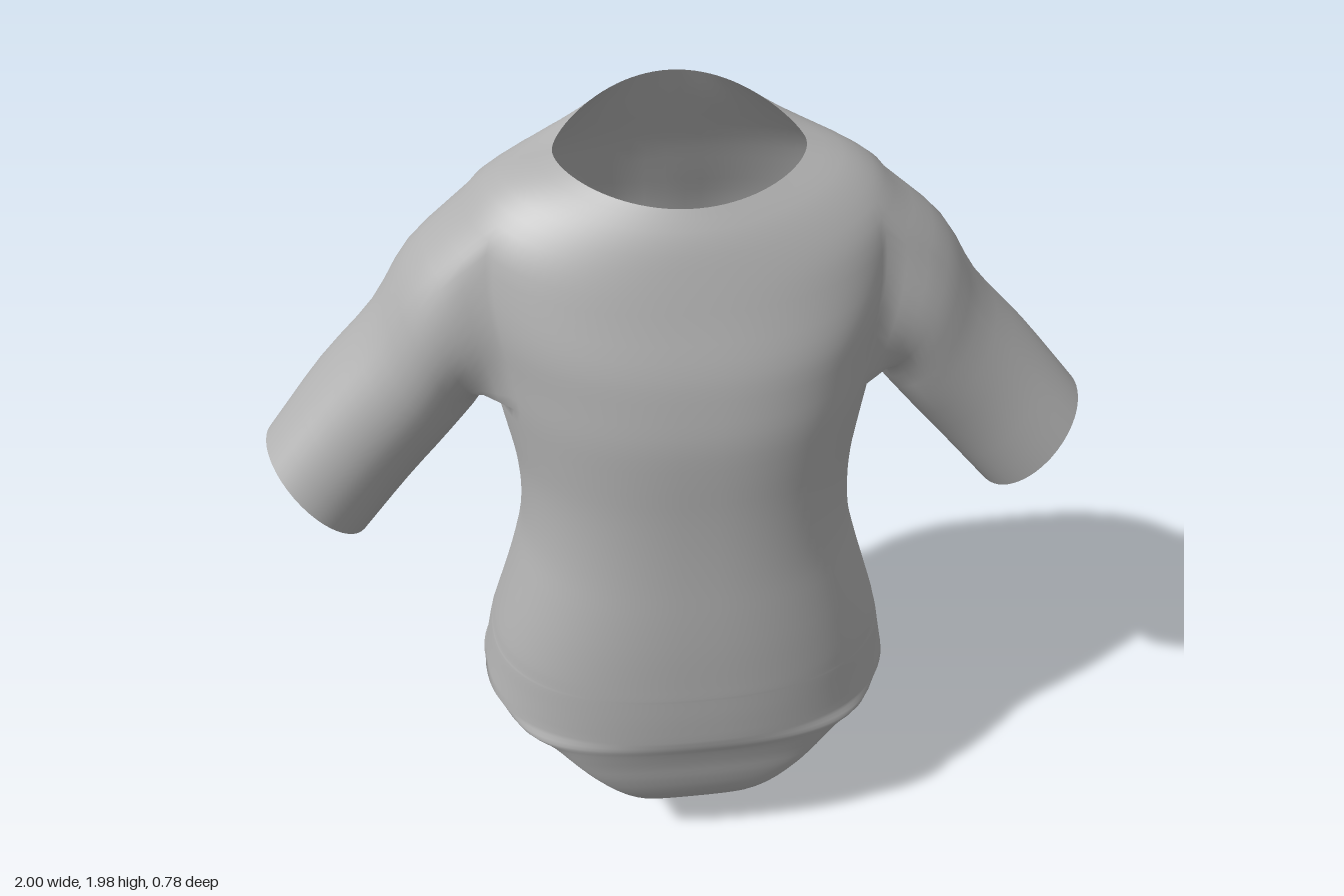
import * as THREE from 'three';

const N = 96;      // columns around the body
const K = 3;       // smoothing steps between sections
const HALF = 8;    // half width of the armhole, in columns

// Body sections: [yFront, ySide, yBack, halfWidth, zFront, zBack, zSide, roundness]
const TORSO = [
  [1.83, 1.88, 1.98, 0.28, 0.16, -0.225, -0.05, 2],
  [1.77, 1.84, 1.88, 0.40, 0.20, -0.265, -0.06, 2.1],
  [1.69, 1.77, 1.78, 0.485, 0.235, -0.31, -0.07, 2.3],
  [1.60, 1.67, 1.68, 0.50, 0.27, -0.345, -0.07, 2.4],
  [1.50, 1.57, 1.58, 0.49, 0.31, -0.378, -0.07, 2.4],
  [1.42, 1.46, 1.47, 0.47, 0.33, -0.395, -0.07, 2.4],
  [1.34, 1.36, 1.37, 0.455, 0.345, -0.392, -0.07, 2.4],
  [1.25, 1.25, 1.25, 0.432, 0.35, -0.37, -0.05, 2.4],
  [1.15, 1.15, 1.15, 0.411, 0.352, -0.335, -0.02, 2.4],
  [1.05, 1.05, 1.05, 0.403, 0.357, -0.30, 0.01, 2.4],
  [0.95, 0.95, 0.95, 0.41, 0.365, -0.27, 0.03, 2.4],
  [0.85, 0.85, 0.85, 0.435, 0.375, -0.255, 0.04, 2.4],
  [0.75, 0.75, 0.75, 0.465, 0.383, -0.268, 0.04, 2.4],
  [0.65, 0.65, 0.65, 0.495, 0.388, -0.31, 0.03, 2.4],
  [0.61, 0.61, 0.61, 0.505, 0.39, -0.33, 0.02, 2.4],
  [0.60, 0.60, 0.60, 0.508, 0.39, -0.342, 0.02, 2.4],
  [0.54, 0.54, 0.54, 0.52, 0.391, -0.36, 0.01, 2.4],
  [0.46, 0.46, 0.46, 0.535, 0.39, -0.375, 0.01, 2.4],
];
// Panels between the leg openings: [y, halfWidth, zMiddle, zEdge]
const FRONT = [
  [0.46, 0.535, 0.39, 0.01], [0.43, 0.46, 0.385, 0.20], [0.40, 0.38, 0.375, 0.28],
  [0.34, 0.32, 0.36, 0.31], [0.28, 0.265, 0.35, 0.32], [0.20, 0.19, 0.325, 0.31],
  [0.12, 0.115, 0.27, 0.265], [0.06, 0.06, 0.20, 0.20], [0.02, 0.02, 0.10, 0.10],
  [0, 0.01, 0, 0],
];
const BACK = [
  [0.46, 0.535, -0.375, 0.01], [0.42, 0.54, -0.385, -0.06], [0.36, 0.54, -0.392, -0.12],
  [0.30, 0.52, -0.39, -0.20], [0.235, 0.48, -0.38, -0.25], [0.205, 0.36, -0.367, -0.31],
  [0.19, 0.27, -0.36, -0.33], [0.13, 0.20, -0.33, -0.29], [0.05, 0.12, -0.27, -0.25],
  [0.01, 0.07, -0.20, -0.20], [0.004, 0.02, -0.07, -0.07], [0, 0.01, 0, 0],
];
// Sleeve sections: [outerX, outerY, lowerX, lowerY, zCentre, zRadius]
const SLEEVE = [
  [0.62, 1.655, 0.475, 1.29, -0.07, 0.205],
  [0.72, 1.50, 0.55, 1.19, -0.08, 0.197],
  [0.86, 1.35, 0.67, 1.05, -0.082, 0.19],
  [1.0, 1.19, 0.79, 0.92, -0.045, 0.165],
];

// Depth of the centre groove down the back
function groove(y) {
  const seat = THREE.MathUtils.smoothstep(y, 0.03, 0.2) * (1 - THREE.MathUtils.smoothstep(y, 0.45, 0.64));
  const spine = THREE.MathUtils.smoothstep(y, 0.7, 1.0) * (1 - THREE.MathUtils.smoothstep(y, 1.5, 1.8));
  return [0.06 * seat, 0.015 * spine];
}

// Point on a rounded body section at column c
function bodyPoint([yF, yS, yB, w, zF, zB, zS, n], c) {
  const a = (c / N) * Math.PI * 2;
  const co = Math.cos(a), si = Math.sin(a);
  const x = w * Math.sign(co) * Math.abs(co) ** (2 / n);
  const y = yS + ((si > 0 ? yF : yB) - yS) * si * si;
  let z = zS + ((si > 0 ? zF : zB) - zS) * Math.abs(si) ** (2 / n);
  if (si < 0) {
    const [seat, spine] = groove(y);
    z += seat * Math.exp(-((x / 0.05) ** 2)) + spine * Math.exp(-((x / 0.09) ** 2));
  }
  return new THREE.Vector3(x, y, z);
}

// Smooth grid through a list of sections
function loft(sections) {
  const steps = (sections.length - 1) * K;
  const columns = sections[0].map((_, c) =>
    new THREE.CatmullRomCurve3(sections.map((s) => s[c])).getPoints(steps));
  return Array.from({ length: steps + 1 }, (_, r) => columns.map((col) => col[r]));
}

const range = (a, b) => Array.from({ length: Math.abs(b - a) + 1 }, (_, i) => a + i * Math.sign(b - a));

export function createModel() {
  const group = new THREE.Group();
  const fabric = new THREE.MeshStandardMaterial({ color: 0xb0b0b0, side: THREE.DoubleSide });
  fabric.name = 'grey fabric';

  // Parts share one vertex pool so shading flows across the joins
  const positions = [], lookup = new Map(), parts = {};
  const vertex = (p) => {
    const key = [p.x, p.y, p.z].map((v) => Math.round(v * 1e4)).join();
    if (!lookup.has(key)) {
      lookup.set(key, positions.length / 3);
      positions.push(p.x, p.y, p.z);
    }
    return lookup.get(key);
  };
  function addGrid(name, grid, flip = false, skip = () => false) {
    const index = (parts[name] = []);
    const tri = (a, b, c) => {
      if (a !== b && b !== c && a !== c) index.push(...(flip ? [a, c, b] : [a, b, c]));
    };
    for (let r = 0; r < grid.length - 1; r++) {
      for (let c = 0; c < grid[0].length - 1; c++) {
        if (skip(r, c)) continue;
        const [a, b, d, e] = [grid[r][c], grid[r][c + 1], grid[r + 1][c + 1], grid[r + 1][c]].map(vertex);
        tri(a, b, d);
        tri(a, d, e);
      }
    }
  }

  // Torso with an armhole on each side
  const torso = loft(TORSO.map((s) => range(0, N).map((c) => bodyPoint(s, c))));
  const top = 2 * K, bottom = 6 * K;
  addGrid('torso', torso, false, (r, c) => {
    const m = (c + 0.5) % (N / 2);
    return r >= top && r < bottom && Math.min(m, N / 2 - m) < HALF;
  });

  // Front and seat panels, meeting at the crotch
  const panel = (rows, from, to) => loft(rows.map(([y, w, zm, ze]) =>
    range(from, to).map((c) => bodyPoint([y, y, y, w, zm, zm, ze, 2.4], c))));
  addGrid('frontPanel', panel(FRONT, 0, N / 2));
  addGrid('seatPanel', panel(BACK, N / 2, N));

  // Sleeves grow out of the armhole edge
  const at = (r, c) => torso[r][(c + N) % N];
  const edge = [
    ...range(-HALF, HALF).map((c) => at(top, c)),
    ...range(top + 1, bottom).map((r) => at(r, HALF)),
    ...range(HALF - 1, -HALF).map((c) => at(bottom, c)),
    ...range(bottom - 1, top).map((r) => at(r, -HALF)),
  ];
  const rings = SLEEVE.map(([ox, oy, lx, ly, zc, rz]) => edge.map((p) => {
    const a = Math.atan2((p.z + 0.07) / 0.19, (p.y - 1.565) / 0.205);
    const k = (1 + Math.cos(a)) / 2;
    return new THREE.Vector3(lx + (ox - lx) * k, ly + (oy - ly) * k, zc + rz * Math.sin(a));
  }));
  const sleeve = loft([edge, ...rings]);
  addGrid('leftSleeve', sleeve);
  addGrid('rightSleeve', sleeve.map((row) => row.map((p) => new THREE.Vector3(-p.x, p.y, p.z))), true);

  // Smooth normals over the whole garment, then one mesh per part
  const whole = new THREE.BufferGeometry();
  whole.setAttribute('position', new THREE.Float32BufferAttribute(positions, 3));
  whole.setIndex(Object.values(parts).flat());
  whole.computeVertexNormals();
  for (const [name, index] of Object.entries(parts)) {
    const geometry = new THREE.BufferGeometry();
    geometry.setAttribute('position', whole.getAttribute('position'));
    geometry.setAttribute('normal', whole.getAttribute('normal'));
    geometry.setIndex(index);
    const mesh = new THREE.Mesh(geometry, fabric);
    mesh.name = name;
    group.add(mesh);
  }
  group.name = 'bodysuit';
  return group;
}
